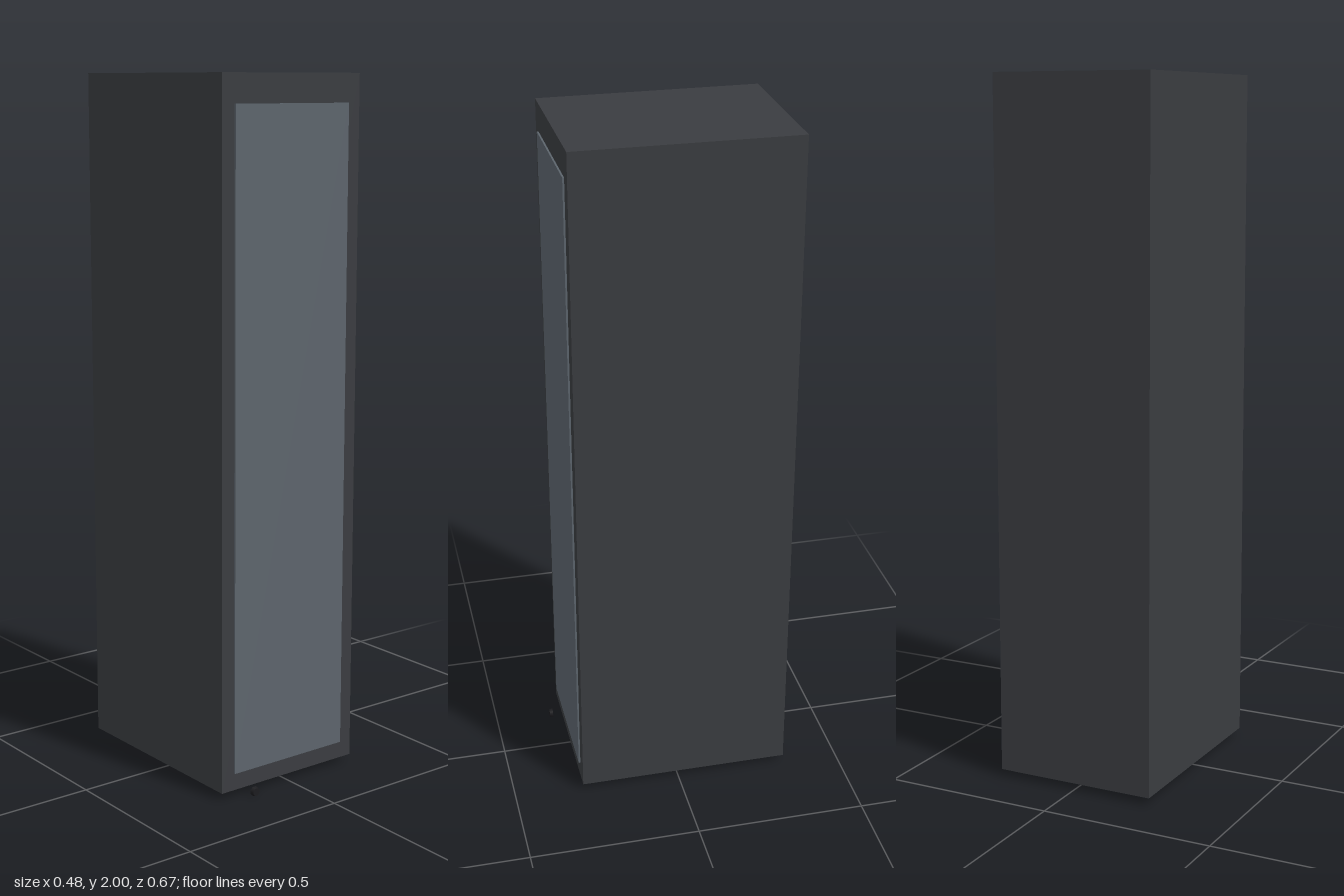
import * as THREE from 'three';

function addPart(group, name, geometry, color, x, y, z) {
  const mesh = new THREE.Mesh(geometry, new THREE.MeshStandardMaterial({ color }));
  mesh.name = name;
  mesh.position.set(x, y, z);
  group.add(mesh);
  return mesh;
}

export function createModel() {
  const group = new THREE.Group();
  group.name = 'cabinet';

  // Tall plain case
  addPart(group, 'cabinetBody', new THREE.BoxGeometry(0.476, 1.98, 0.628), 0x3a3c40, 0, 1.01, -0.019);

  // Door panel standing slightly proud of the front
  addPart(group, 'doorPanel', new THREE.BoxGeometry(0.392, 1.85, 0.01), 0x5c646c, 0, 0.995, 0.295);

  // Small tapered knob in front of the lower edge, narrow end forward
  const knob = new THREE.CylinderGeometry(0.011, 0.014, 0.01, 16).rotateX(Math.PI / 2);
  addPart(group, 'knob', knob, 0x1c1c1f, -0.145, 0.014, 0.328);

  return group;
}
